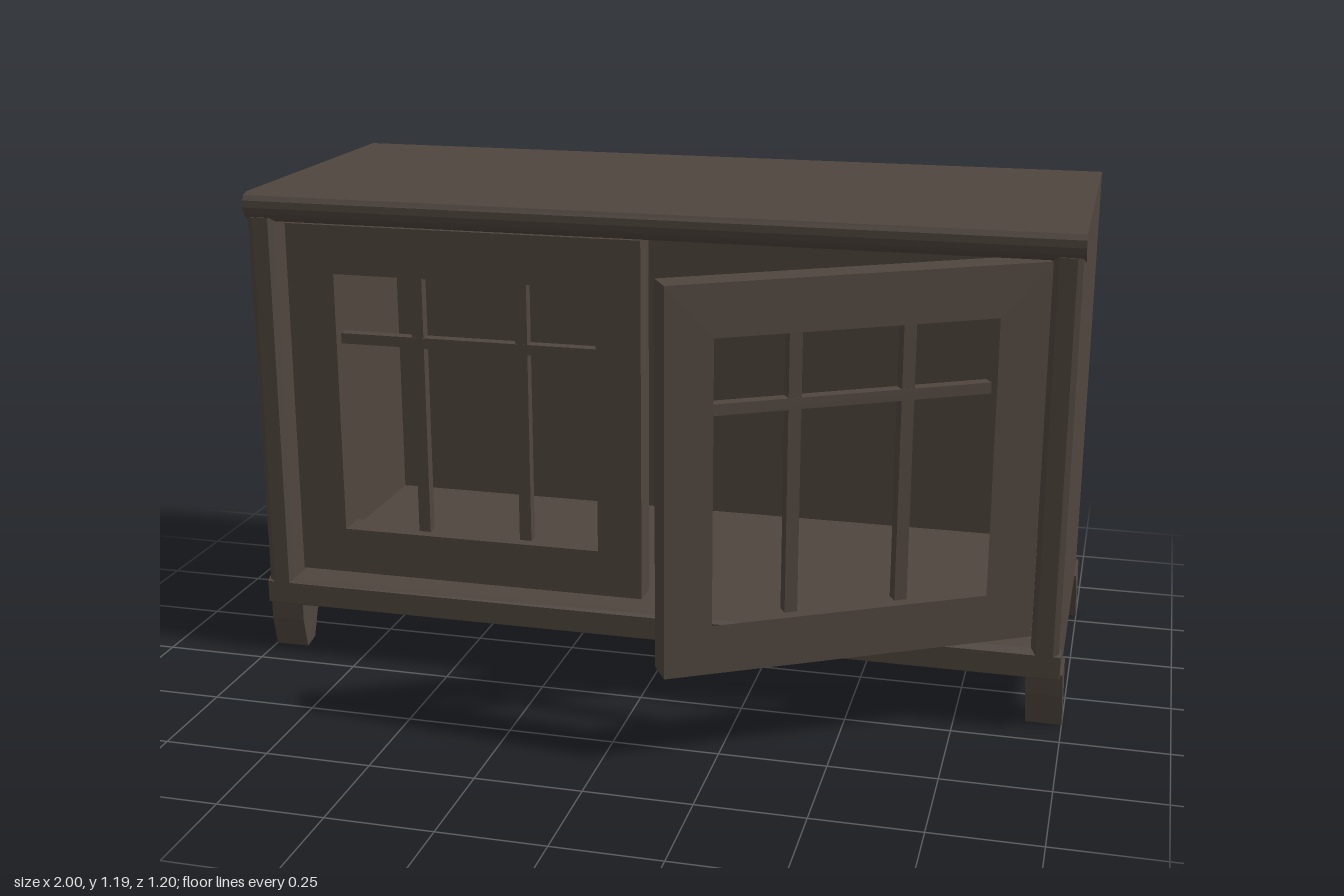
import * as THREE from 'three';

const wood = new THREE.MeshStandardMaterial({ color: 0x50463f });
wood.name = 'darkWood';

function add(parent, name, geometry) {
  const mesh = new THREE.Mesh(geometry, wood);
  mesh.name = name;
  parent.add(mesh);
  return mesh;
}

function extrude(points, depth) {
  const shape = new THREE.Shape(points.map(([x, y]) => new THREE.Vector2(x, y)));
  return new THREE.ExtrudeGeometry(shape, { depth, bevelEnabled: false });
}

// Profile of [z, y] points swept along x between x0 and x1
function sweepX(points, x0, x1) {
  return extrude(points.map(([z, y]) => [-z, y]), x1 - x0).rotateY(Math.PI / 2).translate(x0, 0, 0);
}

// Profile of [x, z] points swept upward from y0 to y1
function sweepY(points, y0, y1) {
  return extrude(points.map(([x, z]) => [x, -z]), y1 - y0).rotateX(-Math.PI / 2).translate(0, y0, 0);
}

// Glassless door hung from its outer edge; its front face lies at local z = 0
function makeDoor(side, name) {
  const door = new THREE.Group();
  door.name = name;
  const width = 0.89, bottom = 0.22, top = 1.11, thick = 0.075;
  const u0 = 0.12, u1 = 0.78, v0 = 0.335, v1 = 0.99;
  const rect = (Type, a, b, c, d) => new Type([[a, c], [b, c], [b, d], [a, d]]
    .map(([u, v]) => new THREE.Vector2(-side * u, v)));
  const panel = rect(THREE.Shape, 0, width, bottom, top);
  panel.holes.push(rect(THREE.Path, u0, u1, v0, v1));
  add(door, 'doorFrame', new THREE.ExtrudeGeometry(panel, { depth: thick, bevelEnabled: false })
    .translate(0, 0, -thick));
  // Window bars, set back inside the frame
  for (const u of [0.32, 0.585]) {
    add(door, 'uprightBar', new THREE.BoxGeometry(0.03, v1 - v0, 0.028))
      .position.set(-side * u, (v0 + v1) / 2, -0.044);
  }
  add(door, 'crossBar', new THREE.BoxGeometry(u1 - u0, 0.026, 0.03))
    .position.set(-side * (u0 + u1) / 2, 0.823, -0.044);
  return door;
}

export function createModel() {
  const model = new THREE.Group();
  model.name = 'cabinet';

  // Top with a rounded front lip
  add(model, 'topPanel', sweepX([
    [-0.6, 1.12], [0.19, 1.12], [0.203, 1.13], [0.212, 1.14], [0.217, 1.155],
    [0.216, 1.172], [0.208, 1.184], [0.19, 1.19], [-0.6, 1.19],
  ], -0.99, 0.99));

  // Base with a chamfered lower front edge
  add(model, 'basePanel', sweepX([
    [-0.6, 0.127], [0.18, 0.127], [0.207, 0.14], [0.207, 0.195], [0.19, 0.207], [-0.6, 0.207],
  ], -0.99, 0.99));

  add(model, 'backPanel', new THREE.BoxGeometry(1.9, 0.95, 0.04)).position.set(0, 0.66, -0.58);

  for (const s of [-1, 1]) {
    // Side walls with eased front edges
    add(model, s > 0 ? 'leftWall' : 'rightWall', sweepY([
      [0.92, -0.6], [0.99, -0.6], [0.99, 0.185], [0.985, 0.2], [0.972, 0.207],
      [0.932, 0.207], [0.92, 0.19],
    ].map(([x, z]) => [s * x, z]), 0.19, 1.13));

    // Tapered feet, splayed slightly outward toward the floor
    const feet = {
      frontFoot: [[0.18, 0.14], [0.177, 0.085], [0.155, 0.003], [0.11, 0.012], [0.075, 0.128], [0.075, 0.14]],
      backFoot: [[-0.6, 0.14], [-0.597, 0.105], [-0.57, 0.006], [-0.515, 0.012], [-0.475, 0.128], [-0.475, 0.14]],
    };
    for (const [name, profile] of Object.entries(feet)) {
      const foot = sweepX(profile, -0.0425, 0.0425);
      const p = foot.attributes.position;
      for (let i = 0; i < p.count; i++) {
        p.setX(i, p.getX(i) + s * (0.9575 - 0.05 * Math.max(0, p.getY(i) - 0.05)));
      }
      foot.computeVertexNormals();
      add(model, name, foot);
    }
  }

  // One door shut, the other swung open
  const shutDoor = makeDoor(-1, 'rightDoor');
  shutDoor.position.set(-0.912, 0, 0.155);
  const openDoor = makeDoor(1, 'leftDoor');
  openDoor.position.set(0.918, 0, 0.155);
  openDoor.rotation.y = Math.PI / 6;
  model.add(shutDoor, openDoor);

  return model;
}
